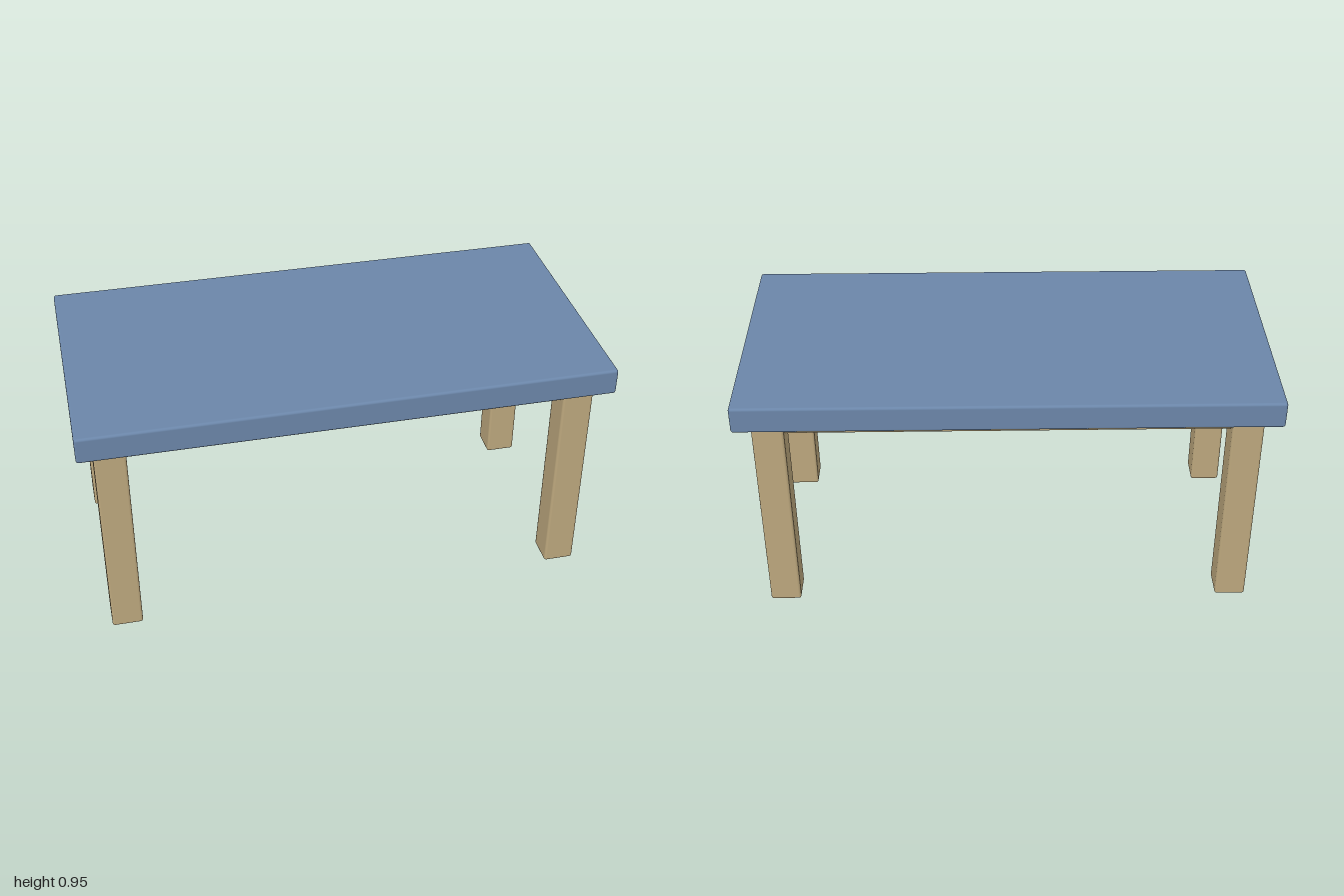
import * as THREE from 'three';
import { RoundedBoxGeometry } from 'three/addons/geometries/RoundedBoxGeometry.js';

export function createModel() {
  const table = new THREE.Group();
  table.name = 'table';

  const blue = new THREE.MeshStandardMaterial({ color: 0x6b86a9 });
  blue.name = 'blue paint';
  const wood = new THREE.MeshStandardMaterial({ color: 0xbca77d });
  wood.name = 'pale wood';

  // Softly rounded box placed by its centre
  function block(name, material, size, position, radius = 0.01) {
    const mesh = new THREE.Mesh(new RoundedBoxGeometry(...size, 2, radius), material);
    mesh.name = name;
    mesh.position.set(...position);
    table.add(mesh);
  }

  const legX = 0.88, legZ = 0.38, legWidth = 0.118;
  const legHeight = 0.847, railHeight = 0.068, railDepth = 0.06;
  const railY = legHeight - railHeight / 2;

  block('tabletop', blue, [2, 0.103, 1], [0, 0.8985, 0]);

  // Four square legs
  for (const x of [-1, 1]) {
    for (const z of [-1, 1]) {
      const name = (z > 0 ? 'front' : 'back') + (x > 0 ? 'Left' : 'Right') + 'Leg';
      block(name, wood, [legWidth, legHeight, legWidth], [x * legX, legHeight / 2, z * legZ]);
    }
  }

  // Rails between the legs, centred on them and let slightly into their faces
  const inset = legWidth - 0.03;
  for (const s of [-1, 1]) {
    block(s > 0 ? 'frontRail' : 'backRail', wood,
      [2 * legX - inset, railHeight, railDepth], [0, railY, s * legZ]);
    block(s > 0 ? 'leftRail' : 'rightRail', wood,
      [railDepth, railHeight, 2 * legZ - inset], [s * legX, railY, 0]);
  }

  return table;
}
